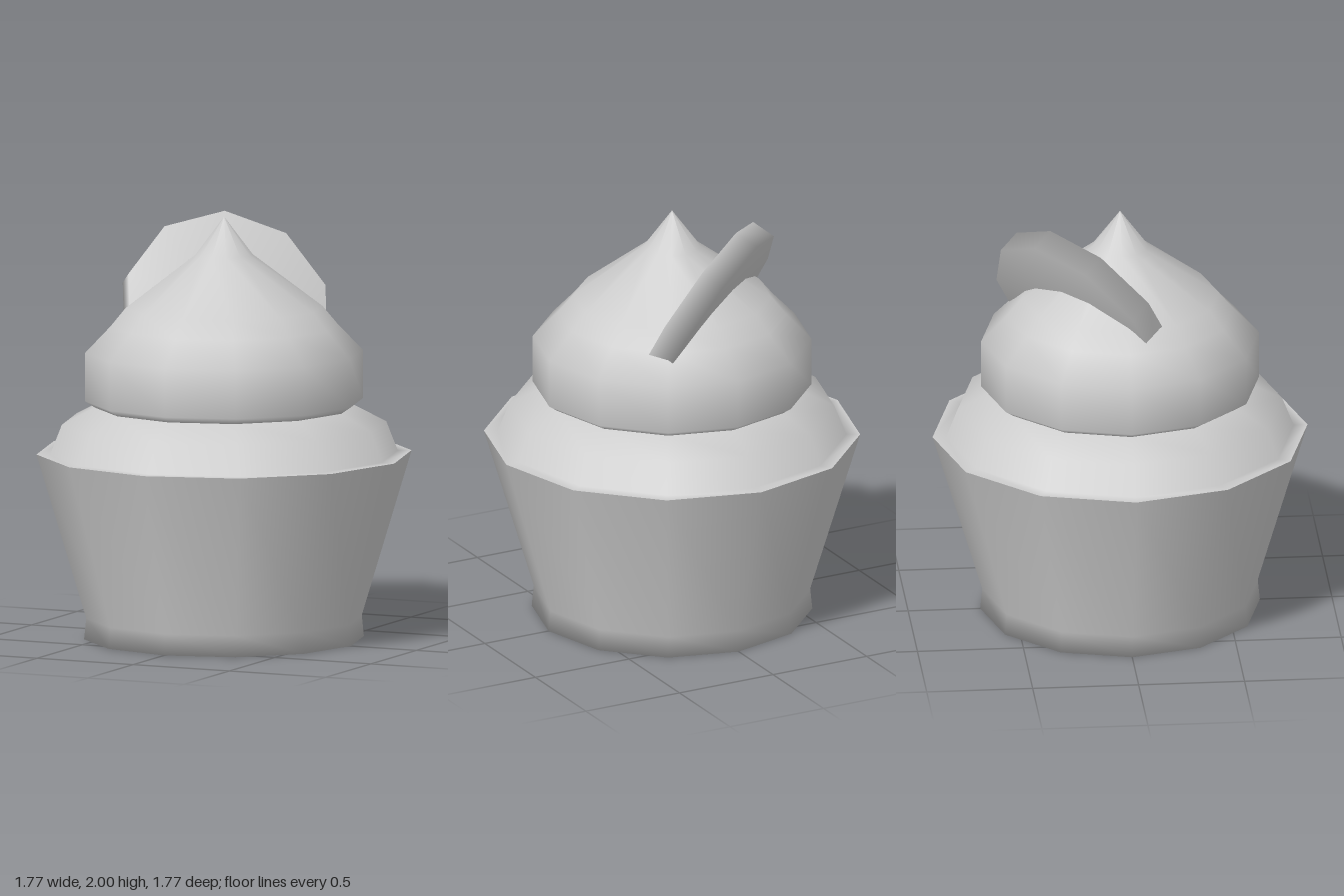
import * as THREE from 'three';

const material = new THREE.MeshStandardMaterial({ color: 0xcccccc });

// Turned part from [radius, height] pairs, listed from bottom to top
function turned(name, profile, sides) {
  const points = profile.map(([r, y]) => new THREE.Vector2(r, y));
  const mesh = new THREE.Mesh(new THREE.LatheGeometry(points, sides), material);
  mesh.name = name;
  return mesh;
}

export function createModel() {
  const model = new THREE.Group();
  model.name = 'cupcake';

  // Flared paper cup with a short foot
  const cup = turned('cup', [[0, 0], [0.66, 0], [0.65, 0.1], [0.885, 0.88]], 12);

  // Lower layer of icing, reaching out to the cup rim
  const lowerIcing = turned('lowerIcing',
    [[0.885, 0.88], [0.82, 0.88], [0.765, 1.02], [0.61, 1.1]], 12);

  // Upper swirl of icing rising to a point
  const upperIcing = turned('upperIcing', [
    [0.61, 1.1], [0.655, 1.13], [0.655, 1.36], [0.535, 1.485],
    [0.465, 1.57], [0.135, 1.82], [0, 2],
  ], 12);

  // Ten-sided biscuit leaning back, half sunk in the icing
  const biscuit = turned('biscuit', [[0, 0], [0.5, 0], [0.5, 0.12], [0, 0.12]], 10);
  const axis = new THREE.Vector3(0.565, 0.48, 0.667).normalize();
  const up = new THREE.Vector3(-0.236, 0.875, -0.43);
  const side = new THREE.Vector3().crossVectors(axis, up).normalize();
  up.crossVectors(side, axis);
  biscuit.quaternion.setFromRotationMatrix(new THREE.Matrix4().makeBasis(side, axis, up));
  biscuit.position.set(-0.108, 1.48, -0.208);

  model.add(cup, lowerIcing, upperIcing, biscuit);
  return model;
}
